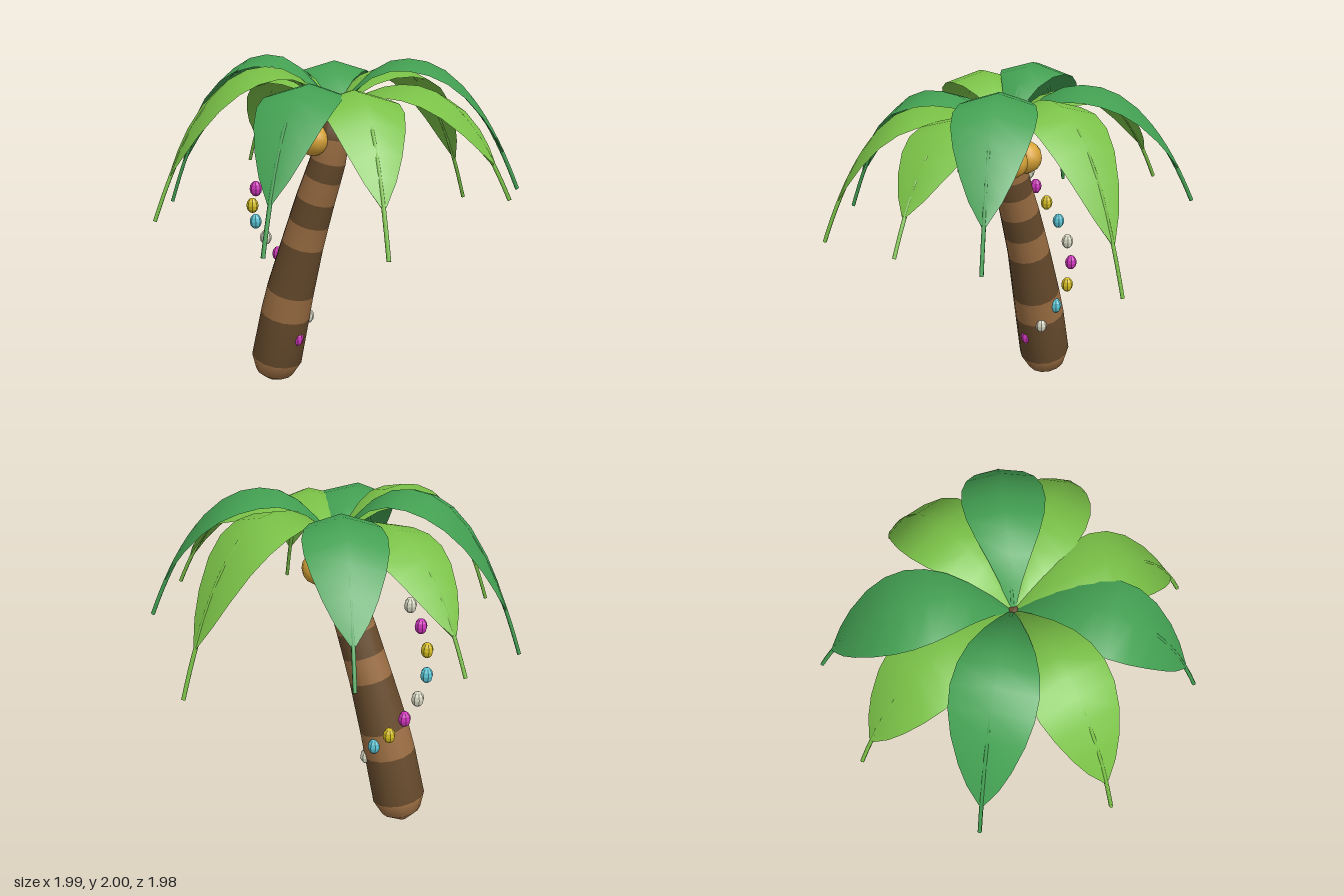
import * as THREE from 'three';

const mat = (name, color, side = THREE.FrontSide) => {
  const m = new THREE.MeshStandardMaterial({ color, side });
  m.name = name;
  return m;
};

// Trunk sections: centre x, y, z and radius; a colour change at each from the third on
const TRUNK = [
  [-0.465, 0.01, 0.07, 0.03], [-0.448, 0.07, 0.07, 0.118], [-0.425, 0.165, 0.07, 0.157],
  [-0.36, 0.455, 0.06, 0.152], [-0.32, 0.61, 0.055, 0.145], [-0.232, 0.91, 0.04, 0.127],
  [-0.185, 1.05, 0.035, 0.121], [-0.137, 1.19, 0.03, 0.115], [-0.088, 1.32, 0.025, 0.108],
  [-0.054, 1.42, 0.018, 0.103], [-0.026, 1.55, 0.013, 0.097], [-0.016, 1.67, 0.01, 0.088],
  [-0.012, 1.7, 0.01, 0.03],
];

// Fronds: tip x, tip y, tip z, height of the arch, 1 = dark green
const FRONDS = [
  [-0.965, 1.14, 0.39, 2.0, 1], [-0.67, 1.33, -0.78, 1.95, 1], [0.23, 1.10, -0.985, 1.935, 0],
  [0.81, 1.285, -0.6, 1.985, 1], [0.985, 1.31, -0.19, 1.86, 0], [0.81, 1.13, 0.62, 1.85, 0],
  [0.34, 1.14, 0.97, 1.88, 1], [-0.5, 1.18, 0.91, 1.95, 0], [-0.99, 1.3, -0.305, 1.89, 0],
];

const BEADS = [
  [-0.39, 1.34, 0.186], [-0.46, 1.23, 0.19], [-0.525, 1.115, 0.155], [-0.565, 1.0, 0.09],
  [-0.56, 0.885, 0.01], [-0.52, 0.775, -0.055], [-0.445, 0.66, -0.09], [-0.345, 0.55, -0.085],
  [-0.265, 0.43, -0.04], [-0.255, 0.315, 0.07],
];

const COCONUTS = [[-0.072, 1.545, 0.125], [0.045, 1.545, -0.08], [-0.08, 1.545, -0.07]];

// Half width of a frond blade: distance along the frond, half width
const WIDTHS = [[0, 0.012], [0.1, 0.055], [0.2, 0.108], [0.3, 0.158], [0.4, 0.193], [0.5, 0.21],
  [0.6, 0.205], [0.7, 0.178], [0.8, 0.13], [0.87, 0.08], [0.93, 0.014]];

const CROWN = new THREE.Vector3(-0.01, 1.68, 0.01);

// Leaning trunk lofted from rings square to its path, colours alternating per band
function trunkGeometry(sides = 14) {
  const centres = TRUNK.map(([x, y, z]) => new THREE.Vector3(x, y, z));
  const last = centres.length - 1;
  const pos = [], index = [];
  centres.forEach((c, i) => {
    const axis = centres[Math.min(i + 1, last)].clone().sub(centres[Math.max(i - 1, 0)]).normalize();
    const u = axis.clone().cross(new THREE.Vector3(0, 0, 1)).normalize();
    const v = u.clone().cross(axis).normalize();
    for (let j = 0; j < sides; j++) {
      const a = (j / sides) * Math.PI * 2;
      const p = c.clone().addScaledVector(u, Math.cos(a) * TRUNK[i][3])
        .addScaledVector(v, Math.sin(a) * TRUNK[i][3]);
      pos.push(p.x, p.y, p.z);
    }
  });
  const geo = new THREE.BufferGeometry();
  for (let i = 0; i < last; i++) {
    const start = index.length;
    for (let j = 0; j < sides; j++) {
      const a = i * sides + j, b = i * sides + (j + 1) % sides;
      index.push(a, a + sides, b, b, a + sides, b + sides);
    }
    const band = Math.min(Math.max(i - 1, 0), 9);
    geo.addGroup(start, index.length - start, band % 2);
  }
  // End caps
  for (const [base, bottom, m] of [[0, true, 0], [last * sides, false, 1]]) {
    const start = index.length;
    for (let j = 1; j < sides - 1; j++) {
      if (bottom) index.push(base, base + j, base + j + 1);
      else index.push(base, base + j + 1, base + j);
    }
    geo.addGroup(start, index.length - start, m);
  }
  geo.setAttribute('position', new THREE.Float32BufferAttribute(pos, 3));
  geo.setIndex(index);
  geo.computeVertexNormals();
  return geo;
}

// One arching frond: a ridged blade around a midrib that runs on as the tip
function makeFrond([tx, ty, tz, peak, dark], material) {
  const dx = tx - CROWN.x, dz = tz - CROWN.z;
  const reach = Math.hypot(dx, dz), c = dx / reach, s = dz / reach;
  const top = 0.375 + (2 - peak) * 0.4;
  const height = (r) => r < top
    ? peak - (peak - CROWN.y) * ((top - r) / top) ** 2
    : peak - (peak - ty) * ((r - top) / (reach - top)) ** 2.25;

  // Upper and lower skins meet at the edges
  const pos = [], index = [];
  for (const under of [0, 1]) {
    WIDTHS.forEach(([d, w], i) => {
      const r = d * reach / 1.02;
      for (const k of [-1, 0, 1]) {
        const drop = k ? w * 0.3 : under * 0.027;
        pos.push(CROWN.x + c * r - s * w * k, height(r) - drop, CROWN.z + s * r + c * w * k);
      }
      if (i === 0) return;
      for (const k of [0, 1]) {
        const a = (under * WIDTHS.length + i - 1) * 3 + k;
        if (under) index.push(a, a + 3, a + 1, a + 1, a + 3, a + 4);
        else index.push(a, a + 1, a + 3, a + 1, a + 4, a + 3);
      }
    });
  }
  const geo = new THREE.BufferGeometry();
  geo.setAttribute('position', new THREE.Float32BufferAttribute(pos, 3));
  geo.setIndex(index);
  geo.computeVertexNormals();
  const blade = new THREE.Mesh(geo, material);
  blade.name = 'frondBlade';

  const path = [];
  for (let i = 0; i <= 20; i++) {
    const r = 0.03 + (reach - 0.03) * i / 20;
    path.push(new THREE.Vector3(CROWN.x + c * r, height(r) - 0.018, CROWN.z + s * r));
  }
  const rib = new THREE.Mesh(
    new THREE.TubeGeometry(new THREE.CatmullRomCurve3(path), 20, 0.011, 6), material);
  rib.name = 'frondRib';

  const frond = new THREE.Group();
  frond.name = dark ? 'darkFrond' : 'lightFrond';
  frond.add(blade, rib);
  return frond;
}

export function createModel() {
  const bark = [mat('light bark', 0x9a6d42), mat('dark bark', 0x664a2c)];
  const leaf = [mat('light leaf', 0x7ac147, THREE.DoubleSide), mat('dark leaf', 0x43a052, THREE.DoubleSide)];
  const nut = mat('coconut gold', 0xd9a437);
  const beadColours = [mat('bead ivory', 0xd6d6c2), mat('bead magenta', 0xce34ba),
    mat('bead yellow', 0xd3bc20), mat('bead cyan', 0x5ac4d4)];

  const model = new THREE.Group();
  model.name = 'palmTree';

  const trunk = new THREE.Mesh(trunkGeometry(), bark);
  trunk.name = 'trunk';
  model.add(trunk);

  const crown = new THREE.Group();
  crown.name = 'crown';
  for (const f of FRONDS) crown.add(makeFrond(f, leaf[f[4]]));
  model.add(crown);

  const nutGeo = new THREE.SphereGeometry(0.09, 12, 8);
  for (const p of COCONUTS) {
    const coconut = new THREE.Mesh(nutGeo, nut);
    coconut.name = 'coconut';
    coconut.position.set(...p);
    model.add(coconut);
  }

  // Spiral of faceted beads swinging round the trunk
  const beadGeo = new THREE.SphereGeometry(0.036, 8, 6).scale(1, 1.28, 1).toNonIndexed();
  beadGeo.computeVertexNormals();
  const beads = new THREE.Group();
  beads.name = 'beadString';
  BEADS.forEach((p, i) => {
    const bead = new THREE.Mesh(beadGeo, beadColours[i % 4]);
    bead.name = 'bead';
    bead.position.set(...p);
    beads.add(bead);
  });
  model.add(beads);
  return model;
}
